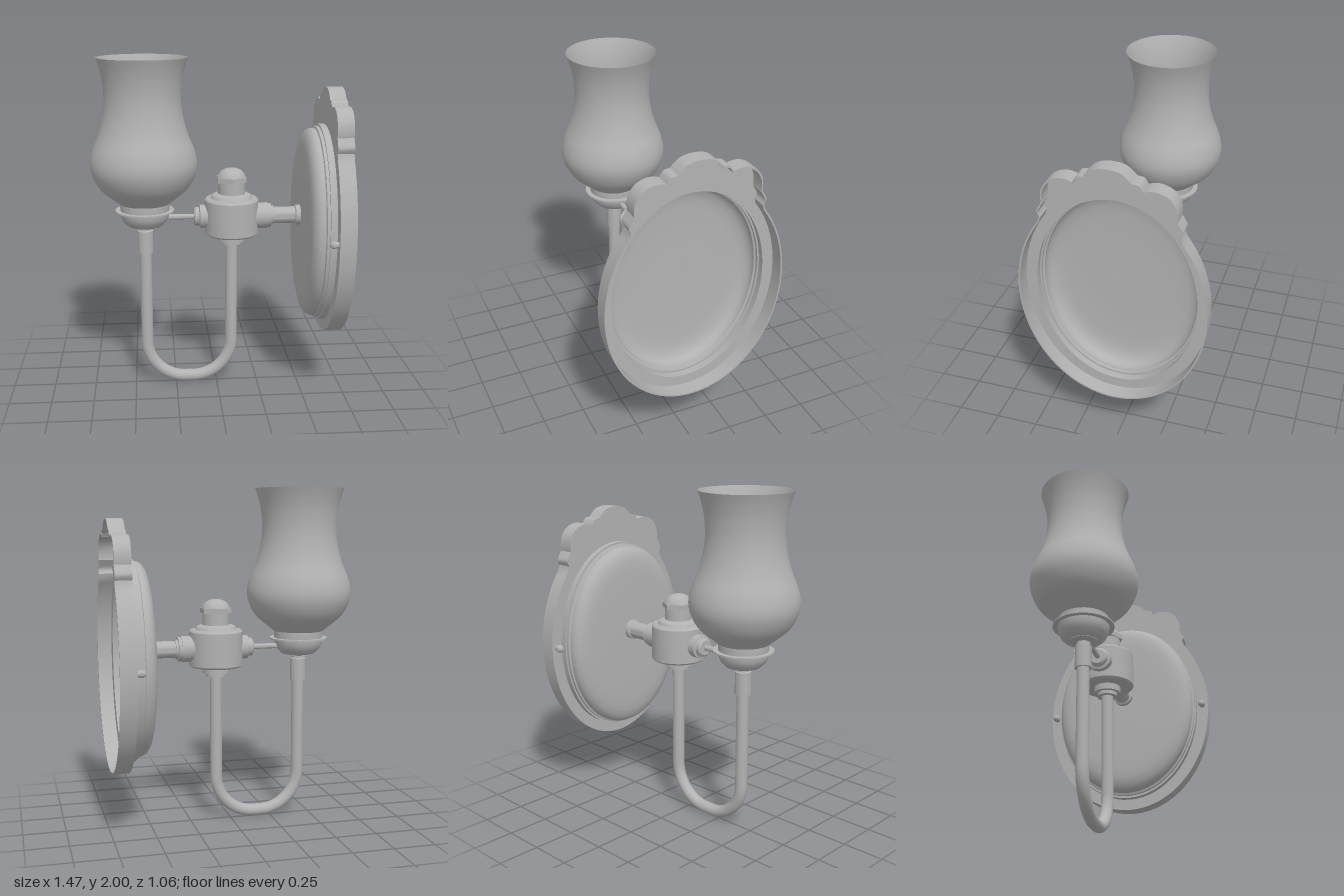
import * as THREE from 'three';
import { toCreasedNormals } from 'three/addons/utils/BufferGeometryUtils.js';

const metal = new THREE.MeshStandardMaterial({ color: 0xb2b2b2, side: THREE.DoubleSide });
metal.name = 'satin grey';

const v2 = ([x, y]) => new THREE.Vector2(x, y);
const LAMP_X = -0.426, HUB_X = 0.09, ARM_Y = 1.06, PLATE_Y = 1.008;

export function createModel() {
  const group = new THREE.Group();
  const add = (name, geometry, x = 0, y = 0, z = 0) => {
    const mesh = new THREE.Mesh(geometry, metal);
    mesh.name = name;
    mesh.position.set(x, y, z);
    group.add(mesh);
    return mesh;
  };
  // Turned part: [radius, height] points, from bottom to top
  const turned = (points, segments = 40, crease = 0.6) =>
    toCreasedNormals(new THREE.LatheGeometry(points.map(v2), segments), crease);
  // Turned part lying along x: [radius, x] points
  const turnedX = (points, segments = 32) => turned(points, segments).rotateZ(-Math.PI / 2);

  // Glass shade, open at both ends
  const shadeCurve = new THREE.SplineCurve([
    [0.15, 1.15], [0.2, 1.19], [0.262, 1.245], [0.302, 1.32], [0.313, 1.39], [0.296, 1.47],
    [0.26, 1.56], [0.233, 1.66], [0.222, 1.76], [0.228, 1.86], [0.245, 1.94], [0.265, 2.0],
  ].map(v2));
  add('shade', new THREE.LatheGeometry(shadeCurve.getPoints(36), 48), LAMP_X);

  // Cup under the shade with its flange and socket
  add('shadeCup', turned([
    [0, 1.0], [0.06, 1.0], [0.1, 1.012], [0.13, 1.04], [0.143, 1.07], [0.147, 1.1],
    [0.175, 1.1], [0.175, 1.108], [0.145, 1.108], [0.145, 1.15], [0.155, 1.155],
  ]), LAMP_X);
  add('socket', turned([[0.085, 1.005], [0.085, 1.05], [0.055, 1.05], [0.055, 1.03], [0, 1.03]]), LAMP_X);
  add('cupStem', turned([
    [0, 0.845], [0.047, 0.845], [0.047, 0.98], [0.04, 0.985], [0.04, 1.005],
  ]), LAMP_X);

  // U-shaped tube: two legs joined by quarter bends
  const R = 0.235, low = 0.037, k = R * 0.448;
  const at = (x, y) => new THREE.Vector3(x, y, 0);
  const bend = new THREE.CurvePath();
  bend.add(new THREE.LineCurve3(at(LAMP_X, 0.87), at(LAMP_X, low + R)));
  bend.add(new THREE.CubicBezierCurve3(at(LAMP_X, low + R), at(LAMP_X, low + k), at(LAMP_X + k, low), at(LAMP_X + R, low)));
  bend.add(new THREE.LineCurve3(at(LAMP_X + R, low), at(HUB_X - R, low)));
  bend.add(new THREE.CubicBezierCurve3(at(HUB_X - R, low), at(HUB_X - k, low), at(HUB_X, low + k), at(HUB_X, low + R)));
  bend.add(new THREE.LineCurve3(at(HUB_X, low + R), at(HUB_X, 0.92)));
  add('curvedTube', new THREE.TubeGeometry(bend, 100, 0.036, 20));

  // Hub with lower collars and upper neck
  add('hub', turned([
    [0, 0.89], [0.06, 0.89], [0.06, 0.912], [0.08, 0.912], [0.08, 0.95], [0.15, 0.95], [0.16, 0.96],
    [0.16, 1.16], [0.152, 1.17], [0.125, 1.172], [0.115, 1.19], [0.1, 1.197], [0.08, 1.2], [0.08, 1.275],
  ]), HUB_X);
  add('hexNut', toCreasedNormals(new THREE.CylinderGeometry(0.097, 0.097, 0.03, 6), 0.5), HUB_X, 1.285);
  add('domeCap', turned([
    [0.083, 1.3], [0.076, 1.318], [0.06, 1.336], [0.035, 1.348], [0, 1.353],
  ], 32, 0.9), HUB_X);

  // Thin rod and stepped fitting towards the shade
  add('shadeRod', turnedX([[0.016, -0.32], [0.016, -0.12]], 16), 0, ARM_Y);
  add('rodFitting', turnedX([
    [0, -0.135], [0.045, -0.135], [0.055, -0.127], [0.055, -0.105], [0.07, -0.1], [0.07, -0.05],
  ]), 0, ARM_Y);

  // Arm from hub to wall plate
  add('wallArm', turnedX([
    [0.077, 0.22], [0.077, 0.305], [0.072, 0.305], [0.072, 0.325], [0.058, 0.325], [0.058, 0.34],
    [0.05, 0.34], [0.05, 0.47], [0.06, 0.475], [0.06, 0.503],
  ]), 0, ARM_Y);

  // Scalloped outline of the wall plate, half mirrored
  const half = [];
  for (let i = 0; i <= 36; i++) {
    const a = -Math.PI / 2 + (i / 36) * (Math.PI / 2 + 0.755);
    half.push(new THREE.Vector2(0.53 * Math.cos(a), PLATE_Y + 0.665 * Math.sin(a)));
  }
  const lobes = [
    [[0.378, 1.495], [0.39, 1.525], [0.372, 1.56], [0.36, 1.58]],
    [[0.362, 1.59], [0.358, 1.65], [0.325, 1.705], [0.275, 1.732], [0.225, 1.737], [0.185, 1.725]],
    [[0.18, 1.735], [0.162, 1.758], [0.127, 1.764]],
    [[0.118, 1.775], [0.085, 1.804], [0.045, 1.82], [0, 1.824]],
  ];
  for (const lobe of lobes) half.push(...new THREE.SplineCurve(lobe.map(v2)).getPoints(10));
  const mirrored = half.slice(1, -1).reverse().map((p) => new THREE.Vector2(-p.x, p.y));
  const outline = [...half, ...mirrored];

  const extrudeX = (shape, depth) =>
    toCreasedNormals(new THREE.ExtrudeGeometry(shape, { depth, bevelEnabled: false, curveSegments: 48 }), 0.5)
      .rotateY(Math.PI / 2);

  // Hollow plate: outer rim and flat front with an oval opening
  const rim = new THREE.Shape(outline);
  rim.holes.push(new THREE.Path(outline.map((p) => new THREE.Vector2(p.x * 0.982, PLATE_Y + (p.y - PLATE_Y) * 0.986))));
  add('plateRim', extrudeX(rim, 0.093), 0.642);
  const face = new THREE.Shape(outline);
  face.holes.push(new THREE.Path().absellipse(0, PLATE_Y, 0.455, 0.593, 0, Math.PI * 2, true));
  add('plateFace', extrudeX(face, 0.008), 0.64);

  // Oval stepped dish, hollow at the back
  const dish = turnedX([
    [0, 0.502], [0.2, 0.502], [0.33, 0.504], [0.375, 0.509], [0.41, 0.52], [0.432, 0.54], [0.44, 0.56],
    [0.44, 0.58], [0.45, 0.585], [0.45, 0.602], [0.46, 0.602], [0.46, 0.648],
  ], 64);
  add('plateDish', dish.scale(1, 1.3, 1), 0, PLATE_Y);

  // Round-headed screws on both sides of the plate
  for (const side of [1, -1]) {
    add('plateScrew', turnedX([
      [0, 0.588], [0.012, 0.592], [0.02, 0.602], [0.023, 0.615], [0.018, 0.625], [0.018, 0.642],
    ], 20), 0, PLATE_Y, side * 0.493);
  }
  return group;
}
